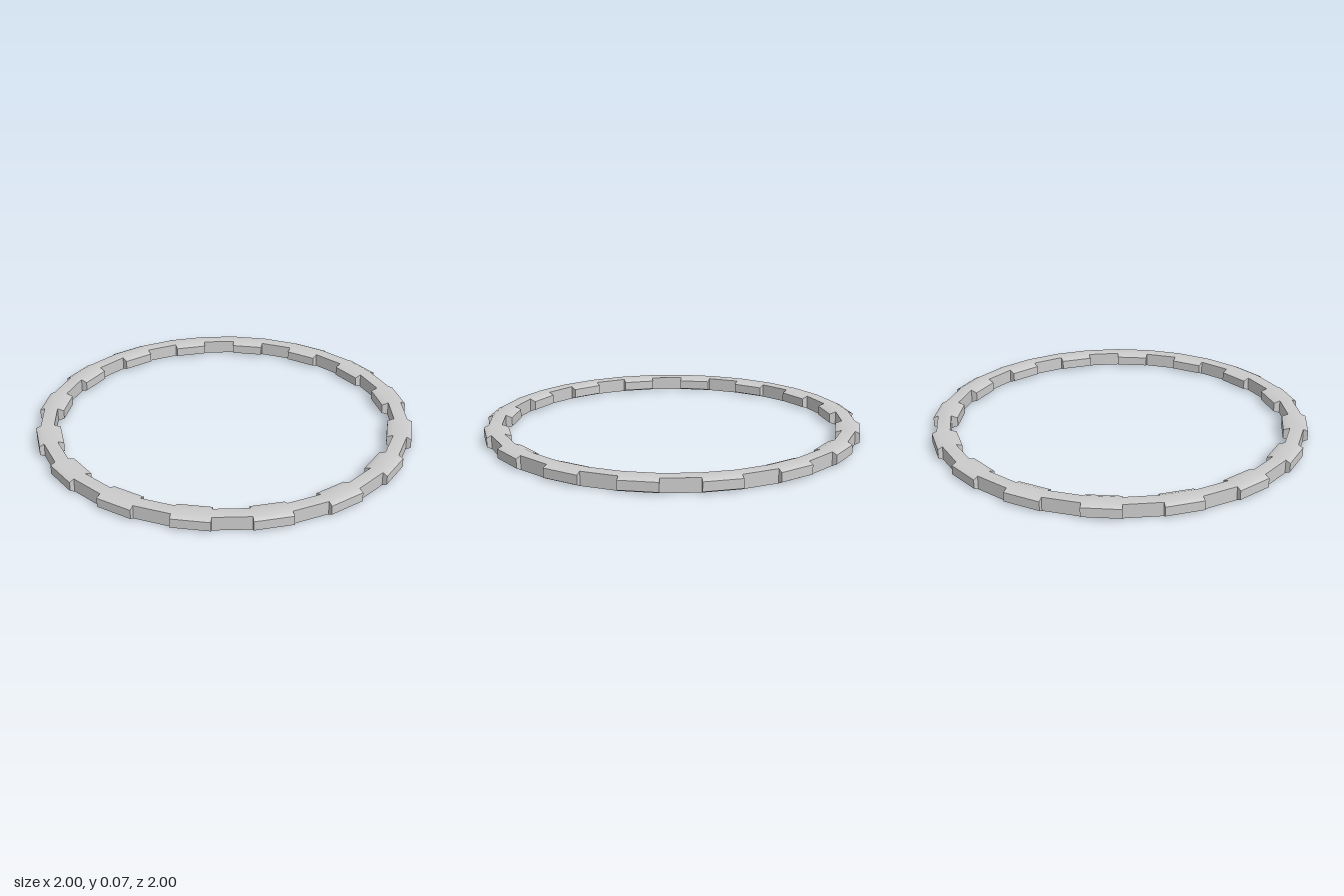
import * as THREE from 'three';
import { toCreasedNormals } from 'three/addons/utils/BufferGeometryUtils.js';

const SEGMENTS = 32;
const HEIGHT = 0.072, CHAMFER = 0.012;
const BAND_OUT = 0.973, BAND_IN = 0.903; // plain band radii
const BLOCK_OUT = 0.998, BLOCK_IN = 0.87; // raised block radii

// Profiles as [radius, height], counter-clockwise from the outer bottom edge
const bandProfile = [[BAND_OUT, 0], [BAND_OUT, HEIGHT], [BAND_IN, HEIGHT], [BAND_IN, 0]];
const blockProfile = [
  [BAND_OUT, 0], [BLOCK_OUT, CHAMFER], [BLOCK_OUT, HEIGHT - CHAMFER], [BAND_OUT, HEIGHT],
  [BAND_IN, HEIGHT], [BLOCK_IN, HEIGHT - CHAMFER], [BLOCK_IN, CHAMFER], [BAND_IN, 0],
];

const at = ([r, y], a) => [r * Math.sin(a), y, r * Math.cos(a)];

function addQuad(out, a, b, c, d) {
  out.push(...a, ...b, ...c, ...a, ...c, ...d);
}

// Straight segment of the ring between two angles
function addSegment(out, profile, a0, a1) {
  profile.forEach((p, i) => {
    const q = profile[(i + 1) % profile.length];
    addQuad(out, at(p, a0), at(p, a1), at(q, a1), at(q, a0));
  });
}

// End faces where a block steps out beyond the band, outside and inside
function addSteps(out, a0, a1) {
  for (const step of [blockProfile.slice(0, 4), blockProfile.slice(4)]) {
    addQuad(out, ...step.map((p) => at(p, a0)));
    addQuad(out, ...step.map((p) => at(p, a1)).reverse());
  }
}

export function createModel() {
  const group = new THREE.Group();
  group.name = 'notchedRing';

  // Alternate raised blocks and plain band around the circle
  const positions = [];
  const stepAngle = (Math.PI * 2) / SEGMENTS;
  for (let i = 0; i < SEGMENTS; i++) {
    const a0 = i * stepAngle, a1 = ((i + 1) % SEGMENTS) * stepAngle;
    const raised = i % 2 === 0;
    addSegment(positions, raised ? blockProfile : bandProfile, a0, a1);
    if (raised) addSteps(positions, a0, a1);
  }

  const geometry = new THREE.BufferGeometry();
  geometry.setAttribute('position', new THREE.Float32BufferAttribute(positions, 3));
  const ring = new THREE.Mesh(
    toCreasedNormals(geometry, 0.5),
    new THREE.MeshStandardMaterial({ color: 0xcccccc }),
  );
  ring.name = 'ring';
  group.add(ring);
  return group;
}
